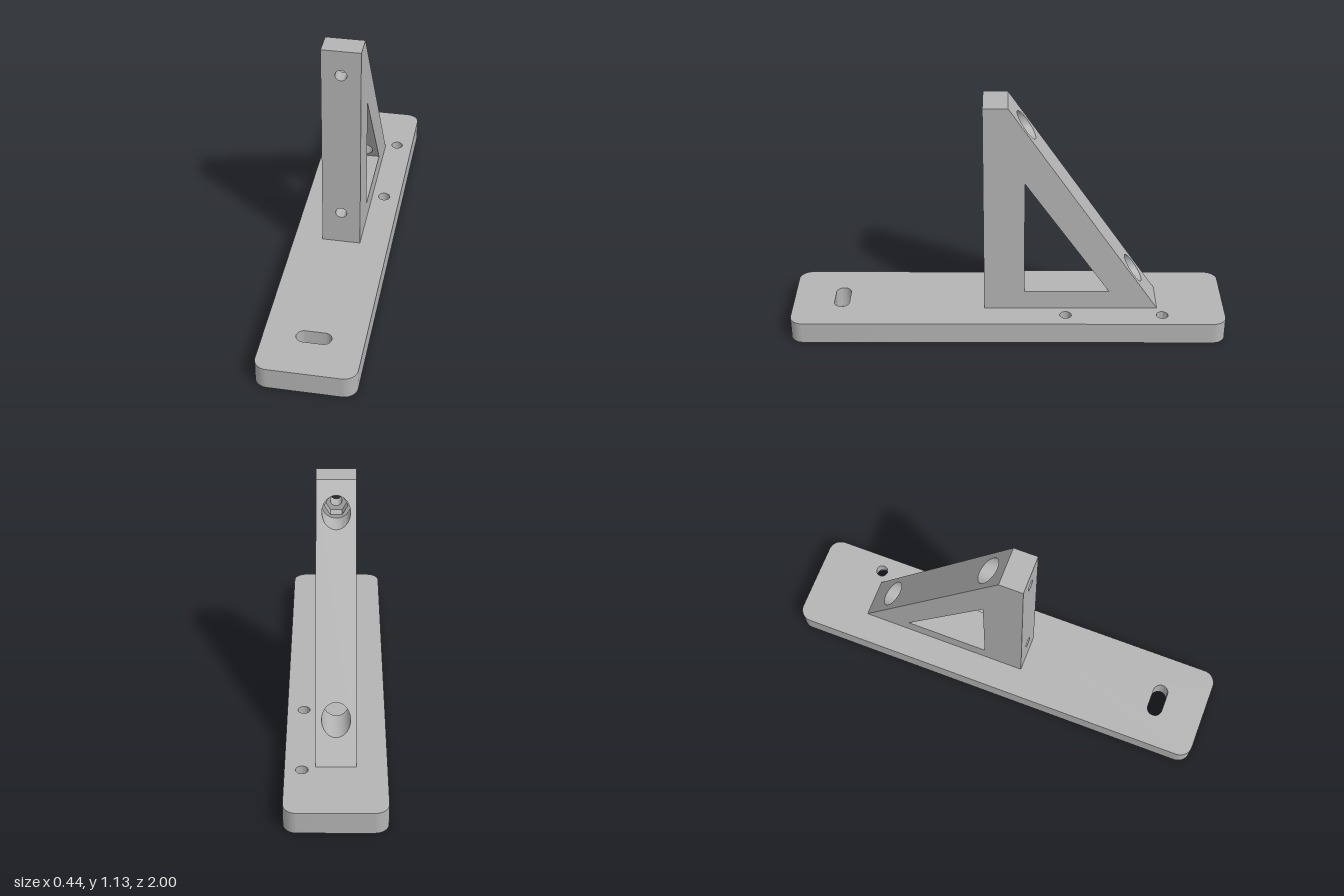
import * as THREE from 'three';
import { toCreasedNormals } from 'three/addons/utils/BufferGeometryUtils.js';

const HALF_W = 0.088, BASE_H = 0.103, TOP = 1.127;
const FRONT_Z = 0.11, POST_Z = -0.075;   // front and back of the post
const SEAT_Z = -0.01, NUT_Z = 0.04;      // floors of the counterbore and the nut pocket
const HOLE_R = 0.026, BORE_R = 0.062, NUT_R = 0.052;
const LOW = 0.268, HIGH = 1.007;         // bolt heights

// depth of the outer and inner slopes at a height
const outerZ = y => -0.69 + (y - BASE_H) * 0.69 / (TOP - BASE_H);
const innerZ = y => -0.465 + (y - 0.195) * 0.39 / 0.565;
const at = z => () => z;

// counter-clockwise ring of points: a circle, or a hexagon with n = 6
const ring = (x, y, r, n = 36) => Array.from({ length: n }, (_, i) => {
  const a = i / n * Math.PI * 2;
  return new THREE.Vector2(x + r * Math.cos(a), y + r * Math.sin(a));
});
const rect = (y0, y1) => [[-HALF_W, y0], [HALF_W, y0], [HALF_W, y1], [-HALF_W, y1]]
  .map(p => new THREE.Vector2(...p));

function shapeOf(outline, holes = []) {
  const s = new THREE.Shape(outline);
  s.holes = holes.map(h => new THREE.Path(h));
  return s;
}

function flip(geo) {
  const ix = geo.index.array;
  for (let i = 0; i < ix.length; i += 3) [ix[i], ix[i + 1]] = [ix[i + 1], ix[i]];
  geo.computeVertexNormals();
  return geo;
}

// flat face drawn in x-y, pushed to the depth zf(y)
function face(outline, holes, zf, back = false) {
  const geo = new THREE.ShapeGeometry(shapeOf(outline, holes));
  const p = geo.attributes.position;
  for (let i = 0; i < p.count; i++) p.setZ(i, zf(p.getY(i)));
  geo.computeVertexNormals();
  return back ? flip(geo) : geo;
}

// inward-facing wall of a hole between two depths
function bore(points, zBack, zFront) {
  const v = [];
  points.forEach((p, i) => {
    const q = points[(i + 1) % points.length];
    const a = [p.x, p.y, zBack(p.y)], b = [q.x, q.y, zBack(q.y)];
    const c = [q.x, q.y, zFront(q.y)], d = [p.x, p.y, zFront(p.y)];
    v.push(...a, ...c, ...b, ...a, ...d, ...c);
  });
  const geo = new THREE.BufferGeometry();
  geo.setAttribute('position', new THREE.Float32BufferAttribute(v, 3));
  return toCreasedNormals(geo, 0.6);
}

export function createModel() {
  const grey = new THREE.MeshStandardMaterial({ color: 0xb4b4b4 });
  grey.name = 'grey';
  const model = new THREE.Group();
  model.name = 'bracketStand';
  const bracket = new THREE.Group();
  bracket.name = 'bracket';
  model.add(bracket);
  const add = (parent, name, geo) => {
    const m = new THREE.Mesh(geo, grey);
    m.name = name;
    parent.add(m);
    return m;
  };

  // base plate in two layers: nut pockets below, screw holes above
  const plateLayer = (name, y0, y1, radius, sides) => {
    const w = 0.22, l = 1, r = 0.06, s = new THREE.Shape();
    s.absarc(w - r, l - r, r, 0, Math.PI / 2);
    s.absarc(r - w, l - r, r, Math.PI / 2, Math.PI);
    s.absarc(r - w, r - l, r, Math.PI, Math.PI * 1.5);
    s.absarc(w - r, r - l, r, Math.PI * 1.5, Math.PI * 2);
    const slot = new THREE.Path();
    slot.absarc(0.043, -0.775, 0.035, -Math.PI / 2, Math.PI / 2);
    slot.absarc(-0.043, -0.775, 0.035, Math.PI / 2, Math.PI * 1.5);
    s.holes.push(slot);
    for (const y of [0.71, 0.265]) s.holes.push(new THREE.Path(ring(0.145, y, radius, sides)));
    const geo = new THREE.ExtrudeGeometry(s, { depth: y1 - y0, bevelEnabled: false, curveSegments: 12 });
    geo.rotateX(-Math.PI / 2).translate(0, y0, 0);
    add(model, name, toCreasedNormals(geo, 0.6));
  };
  plateLayer('baseLower', 0, 0.05, 0.05, 6);
  plateLayer('baseUpper', 0.05, BASE_H, 0.027, 32);

  // triangular side faces with the window
  const profile = [[-0.69, BASE_H], [FRONT_Z, BASE_H], [FRONT_Z, TOP], [0, TOP]]
    .map(p => new THREE.Vector2(...p));
  const gap = [[-0.465, 0.195], [POST_Z, 0.195], [POST_Z, 0.76]].map(p => new THREE.Vector2(...p));
  const side = () => new THREE.ShapeGeometry(shapeOf(profile, [gap])).rotateY(-Math.PI / 2);
  add(bracket, 'rightSide', side().translate(-HALF_W, 0, 0));
  add(bracket, 'leftSide', flip(side()).translate(HALF_W, 0, 0));

  // level faces: top of the post and window sill
  const level = (name, y, z0, z1) => add(bracket, name,
    new THREE.PlaneGeometry(HALF_W * 2, z1 - z0).rotateX(-Math.PI / 2).translate(0, y, (z0 + z1) / 2));
  level('postTop', TOP, 0, FRONT_Z);
  level('windowSill', 0.195, -0.465, POST_Z);

  // front, post back and both slopes of the strut
  const wide = y => ring(0, y, BORE_R);
  add(bracket, 'postFront', face(rect(BASE_H, TOP), [ring(0, LOW, HOLE_R), ring(0, HIGH, HOLE_R)], at(FRONT_Z)));
  add(bracket, 'postBack', face(rect(0.195, 0.76), [wide(LOW)], at(POST_Z), true));
  add(bracket, 'strutOuter', face(rect(BASE_H, TOP), [wide(LOW), wide(HIGH)], outerZ, true));
  add(bracket, 'strutInner', face(rect(0.195, 0.76), [wide(LOW)], innerZ));
  add(bracket, 'strutAccessHole', bore(wide(LOW), outerZ, innerZ));

  // stepped bolt holes: counterbore, hexagonal nut pocket, shank hole
  for (const [y, start] of [[LOW, at(POST_Z)], [HIGH, outerZ]]) {
    const hole = ring(0, y, HOLE_R), nut = ring(0, y, NUT_R, 6);
    add(bracket, 'counterbore', bore(wide(y), start, at(SEAT_Z)));
    add(bracket, 'counterboreFloor', face(wide(y), [nut], at(SEAT_Z), true));
    add(bracket, 'nutPocket', bore(nut, at(SEAT_Z), at(NUT_Z)));
    add(bracket, 'nutPocketFloor', face(nut, [hole], at(NUT_Z), true));
    add(bracket, 'boltHole', bore(hole, at(NUT_Z), at(FRONT_Z)));
  }
  return model;
}
